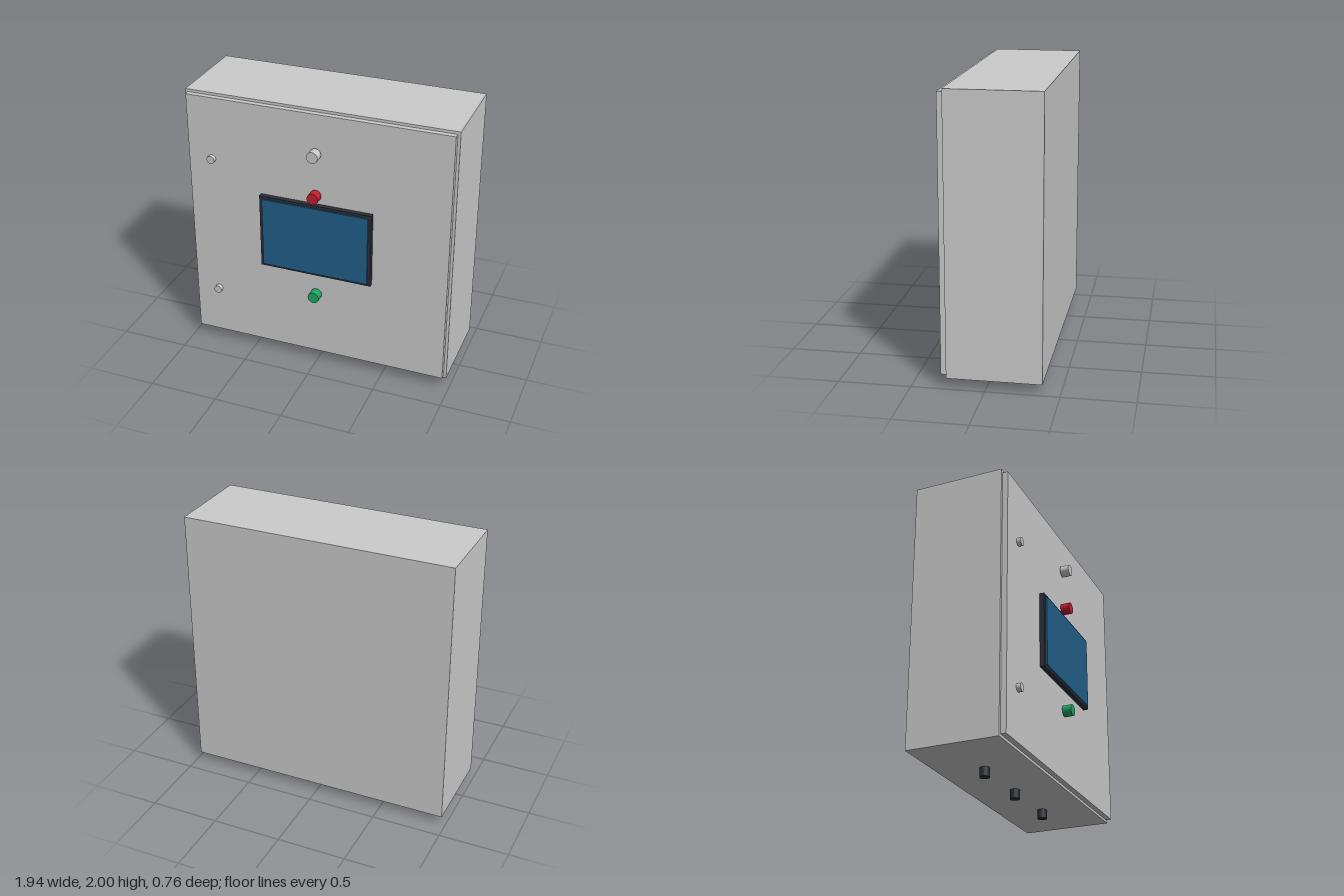
import * as THREE from 'three';

const material = (color) => new THREE.MeshStandardMaterial({ color });

export function createModel() {
  const model = new THREE.Group();
  const grey = material(0xcccccc);
  const dark = material(0x2b3038);

  const add = (name, geometry, mat, x, y, z) => {
    const mesh = new THREE.Mesh(geometry, mat);
    mesh.name = name;
    mesh.position.set(x, y, z);
    model.add(mesh);
    return mesh;
  };

  // Box given by half width, bottom/top and back/front
  const slab = (name, mat, halfW, y0, y1, z0, z1) =>
    add(name, new THREE.BoxGeometry(halfW * 2, y1 - y0, z1 - z0), mat, 0, (y0 + y1) / 2, (z0 + z1) / 2);

  // Round stud whose axis points forward
  const stud = (name, mat, r, x, y, z0, z1) => {
    const geometry = new THREE.CylinderGeometry(r, r, z1 - z0, 32).rotateX(Math.PI / 2);
    return add(name, geometry, mat, x, y, (z0 + z1) / 2);
  };

  // Cabinet and its door
  slab('cabinetBody', grey, 0.972, 0.064, 2, -0.38, 0.266);
  slab('door', grey, 0.952, 0.083, 1.98, 0.266, 0.305);

  // Display panel
  slab('displayBezel', dark, 0.411, 0.755, 1.313, 0.305, 0.34);
  slab('displayScreen', material(0x22608a), 0.389, 0.773, 1.293, 0.34, 0.351);

  // Push buttons and lamp, standing just clear of the door
  stud('indicatorLamp', grey, 0.041, 0, 1.695, 0.316, 0.38);
  stud('stopButton', material(0xc01f2e), 0.041, 0, 1.383, 0.316, 0.38);
  stud('startButton', material(0x1fa565), 0.041, 0, 0.587, 0.316, 0.38);

  // Door latches
  for (const y of [0.452, 1.52]) stud('doorLatch', grey, 0.029, -0.777, y, 0.305, 0.335);

  // Cable glands under the cabinet
  for (const x of [-0.486, 0, 0.486]) {
    add('cableGland', new THREE.CylinderGeometry(0.035, 0.035, 0.064, 24), dark, x, 0.032, -0.057);
  }

  return model;
}
